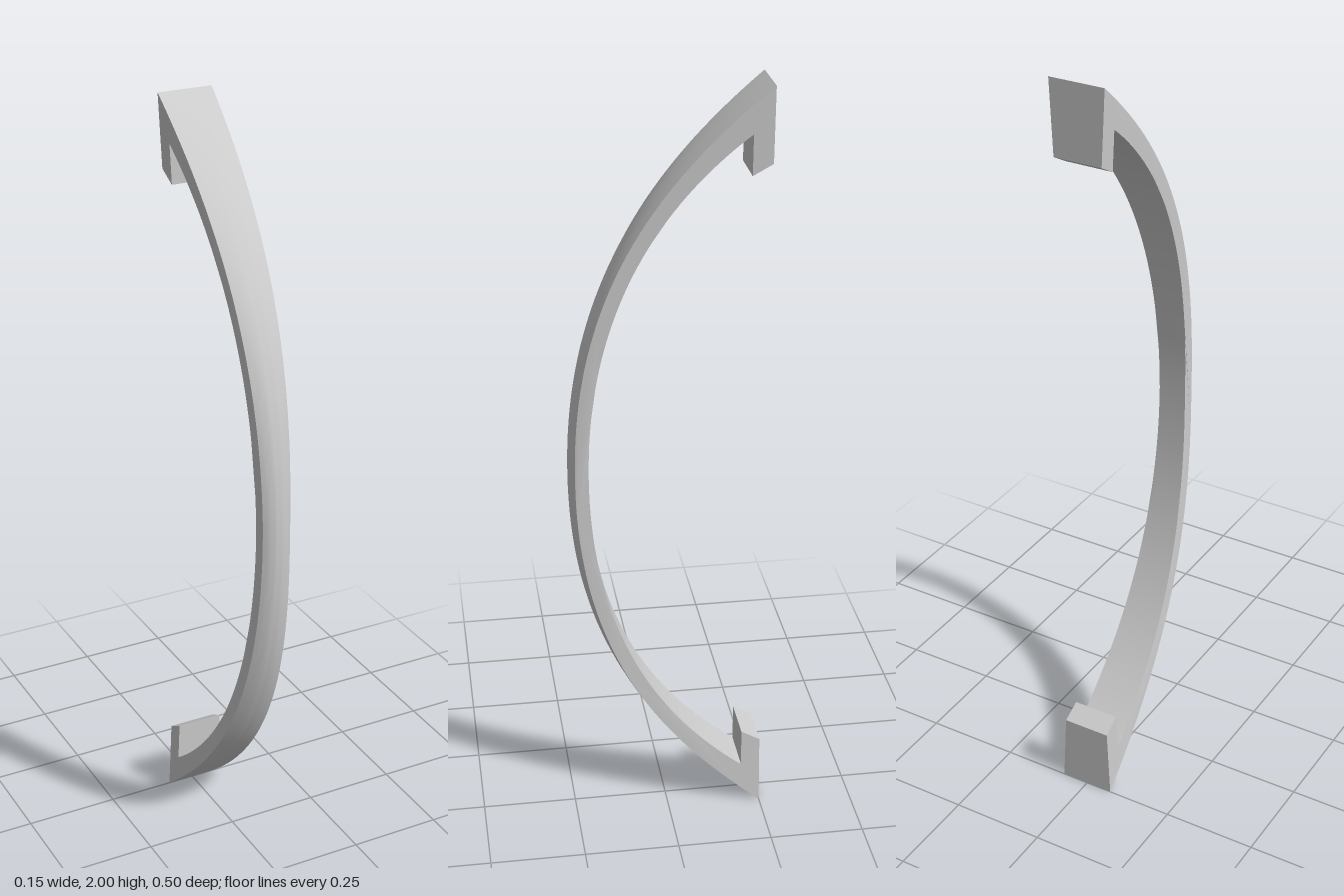
import * as THREE from 'three';
import { toCreasedNormals } from 'three/addons/utils/BufferGeometryUtils.js';

const V = (z, y) => new THREE.Vector2(z, y);

// Half an arc from the middle of the handle to its upper end, mirrored to a full arc (top to bottom)
function fullArc(a, b, c, d, n) {
  const half = new THREE.CubicBezierCurve(a, b, c, d).getPoints(n);
  const lower = half.slice(1).map((p) => V(p.x, -p.y));
  return [...half.reverse(), ...lower];
}

export function createModel() {
  const group = new THREE.Group();
  group.name = 'pullHandle';

  // Side profile in z and y, with y measured from the middle of the handle
  const outer = fullArc(V(0.25, 0), V(0.25, 0.45), V(0.08, 0.74), V(-0.25, 1), 36);
  const inner = fullArc(V(0.2, 0), V(0.2, 0.4), V(0.06, 0.69), V(-0.2, 0.885), 36).reverse();
  const lowerFoot = [V(-0.25, -0.81), V(-0.2, -0.782)];
  const upperFoot = [V(-0.2, 0.782), V(-0.25, 0.81)];
  const profile = new THREE.Shape([...outer, ...lowerFoot, ...inner, ...upperFoot]);

  const geo = new THREE.ExtrudeGeometry(profile, { depth: 2, steps: 12, bevelEnabled: false });
  geo.translate(0, 0, -1);
  geo.rotateY(-Math.PI / 2);

  // Narrow the waist, and crown the outer face towards the middle
  const pos = geo.attributes.position;
  for (let i = 0; i < pos.count; i++) {
    const x = pos.getX(i), y = pos.getY(i), z = pos.getZ(i);
    const t = Math.min(1, Math.abs(y));
    const onOuter = outer.some((p) => Math.abs(p.x - z) + Math.abs(p.y - y) < 1e-5);
    const drop = onOuter ? 0.015 * x * x * (1 - t * t) : 0;
    pos.setXYZ(i, x * (0.038 + 0.035 * t ** 1.5), y + 1, z - drop);
  }

  const material = new THREE.MeshStandardMaterial({ color: 0xcccccc });
  const handle = new THREE.Mesh(toCreasedNormals(geo, 0.6), material);
  handle.name = 'archedGripWithFeet';
  group.add(handle);
  return group;
}
